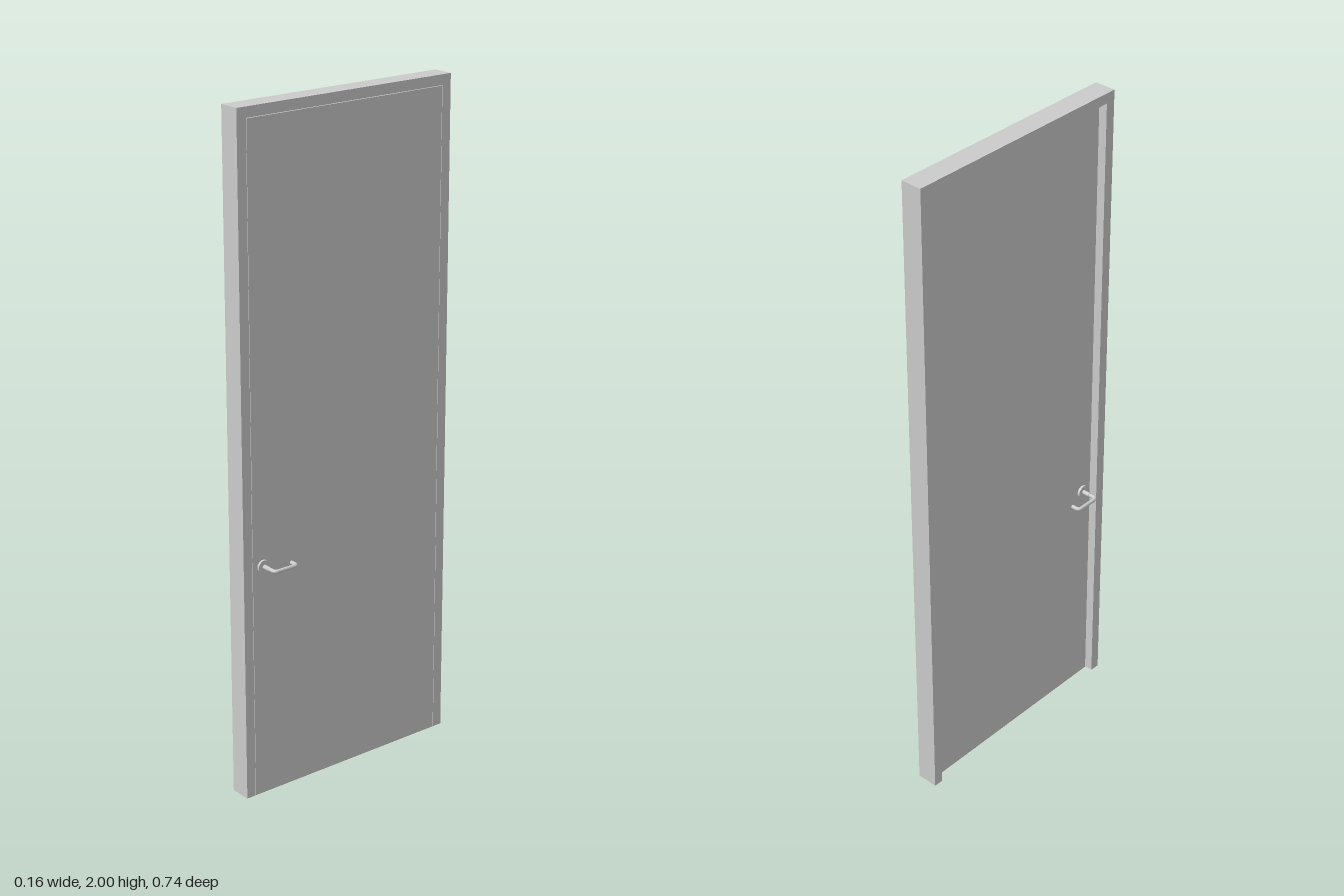
import * as THREE from 'three';

const material = new THREE.MeshStandardMaterial({ color: 0xcccccc });

function addMesh(parent, name, geometry) {
  const mesh = new THREE.Mesh(geometry, material);
  mesh.name = name;
  parent.add(mesh);
  return mesh;
}

// Lever handle on the +x side: rosette, collar and a bar bent into a U
function createHandle() {
  const handle = new THREE.Group();
  const z = 0.303, y = 0.705, faceX = 0.02;

  const rosette = addMesh(handle, 'rosette', new THREE.CylinderGeometry(0.0195, 0.0195, 0.007, 32));
  rosette.rotation.z = -Math.PI / 2;
  rosette.position.set(faceX + 0.0035, y, z);

  const collar = addMesh(handle, 'collar', new THREE.CylinderGeometry(0.0066, 0.0066, 0.024, 20));
  collar.rotation.z = -Math.PI / 2;
  collar.position.set(0.038, y, z);

  const r = 0.0058, outX = 0.0753, endZ = 0.226, bend = 0.011;
  const p = (x, pz) => new THREE.Vector3(x, y, pz);
  const path = new THREE.CurvePath();
  path.add(new THREE.LineCurve3(p(faceX, z), p(outX - bend, z)));
  path.add(new THREE.QuadraticBezierCurve3(p(outX - bend, z), p(outX, z), p(outX, z - bend)));
  path.add(new THREE.LineCurve3(p(outX, z - bend), p(outX, endZ + bend)));
  path.add(new THREE.QuadraticBezierCurve3(p(outX, endZ + bend), p(outX, endZ), p(outX - bend, endZ)));
  path.add(new THREE.LineCurve3(p(outX - bend, endZ), p(0.05, endZ)));
  addMesh(handle, 'leverBar', new THREE.TubeGeometry(path, 64, r, 16, false));

  // Closed tip of the lever, facing the door
  const tip = addMesh(handle, 'leverTip', new THREE.CircleGeometry(r, 16));
  tip.rotation.y = -Math.PI / 2;
  tip.position.set(0.05, y, endZ);
  return handle;
}

export function createModel() {
  const model = new THREE.Group();
  model.name = 'door';

  const height = 2, halfWidth = 0.37, trim = 0.03, gap = 0.0015;
  const backX = -0.045, frontX = 0.02;
  const inner = halfWidth - trim;

  // Frame: an upside-down U extruded through the wall depth
  const outline = new THREE.Shape([
    [-halfWidth, 0], [-inner, 0], [-inner, height - trim], [inner, height - trim],
    [inner, 0], [halfWidth, 0], [halfWidth, height], [-halfWidth, height],
  ].map(([a, b]) => new THREE.Vector2(a, b)));
  const frame = addMesh(model, 'frame',
    new THREE.ExtrudeGeometry(outline, { depth: frontX - backX, bevelEnabled: false }));
  frame.rotation.y = Math.PI / 2;
  frame.position.x = backX;

  // Door leaf: flush with the frame on +x, recessed on -x
  const leafHeight = height - trim - gap;
  const leaf = addMesh(model, 'doorLeaf', new THREE.BoxGeometry(0.04, leafHeight, 2 * (inner - gap)));
  leaf.position.y = leafHeight / 2;

  // Handles on both faces; the second is turned about the lever's axis plane
  const outside = createHandle();
  outside.name = 'leftHandle';
  const inside = createHandle();
  inside.name = 'rightHandle';
  inside.scale.x = -1;
  model.add(outside, inside);

  return model;
}
